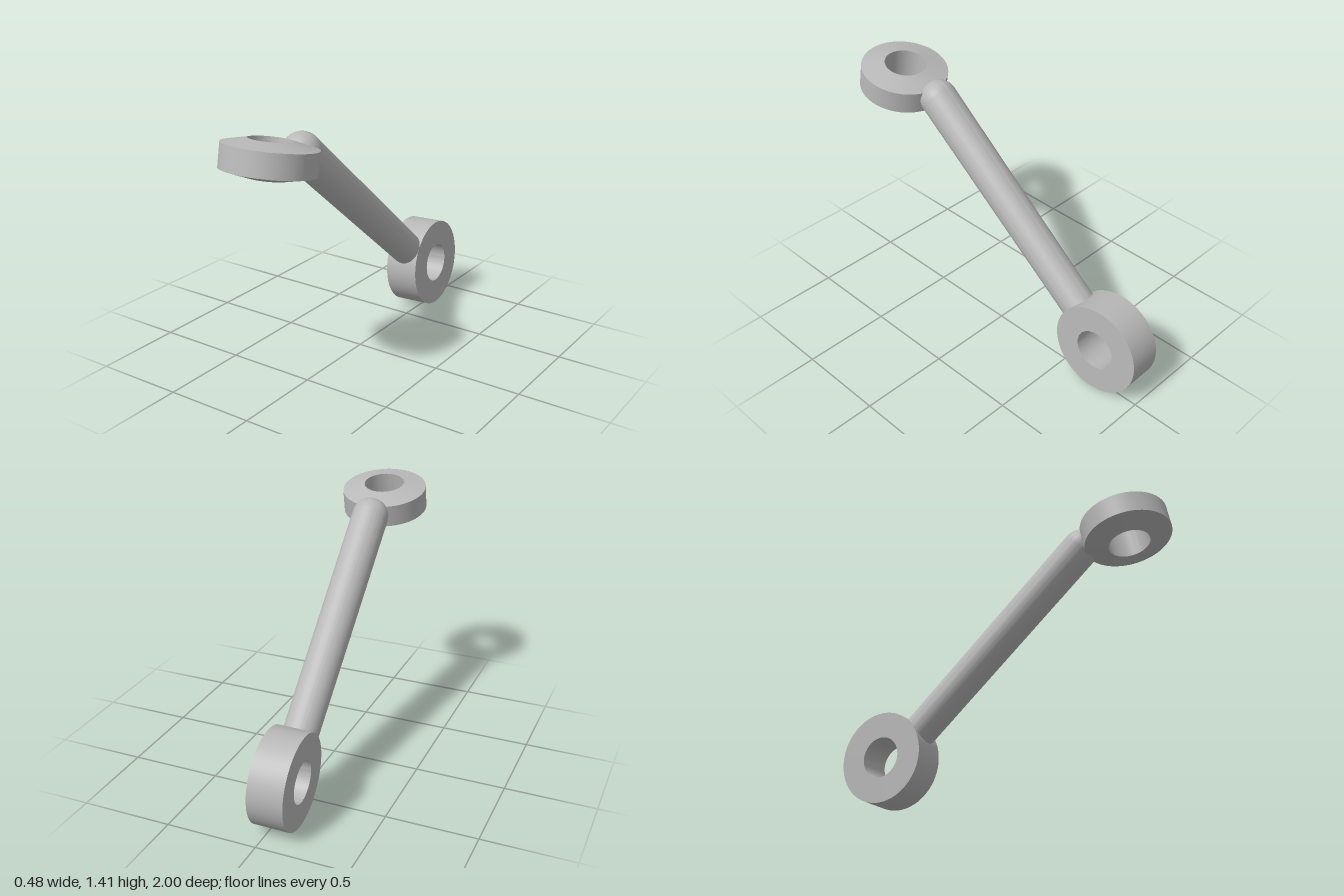
import * as THREE from 'three';
import { toCreasedNormals } from 'three/addons/utils/BufferGeometryUtils.js';

const UP = new THREE.Vector3(0, 1, 0);

// Revolve a profile of [radius, height] pairs, keeping its edges sharp
function turned(name, profile, material) {
  const points = profile.map(([r, h]) => new THREE.Vector2(r, h));
  const mesh = new THREE.Mesh(toCreasedNormals(new THREE.LatheGeometry(points, 72), 0.6), material);
  mesh.name = name;
  return mesh;
}

// Point the mesh's own y axis along a direction
function aim(mesh, position, direction) {
  mesh.position.copy(position);
  mesh.quaternion.setFromUnitVectors(UP, direction.clone().normalize());
  return mesh;
}

// Ring profile: the rim and the hole may differ in height, giving conical faces
const ringProfile = (outer, hole, rimHalf, holeHalf) => [
  [hole, -holeHalf], [outer, -rimHalf], [outer, rimHalf], [hole, holeHalf], [hole, -holeHalf],
];

export function createModel() {
  const group = new THREE.Group();
  group.name = 'connectingLink';
  const steel = new THREE.MeshStandardMaterial({ color: 0xb8b8b8 });
  steel.name = 'steel grey';

  // Flat lower eye, axis close to x
  group.add(aim(
    turned('lowerEye', ringProfile(0.257, 0.114, 0.097, 0.097), steel),
    new THREE.Vector3(-0.043, 0.262, -0.739),
    new THREE.Vector3(1, 0.04, -0.04),
  ));

  // Upper eye with conical faces, axis close to y
  group.add(aim(
    turned('upperEye', ringProfile(0.239, 0.113, 0.062, 0.092), steel),
    new THREE.Vector3(0, 1.3, 0.758),
    new THREE.Vector3(0, 1, -0.197),
  ));

  // Slightly tapered rod with a domed upper end
  const foot = new THREE.Vector3(-0.04, 0.357, -0.6);
  const head = new THREE.Vector3(-0.012, 1.267, 0.49);
  const axis = head.clone().sub(foot);
  const length = axis.length();
  const radius = 0.102;
  const profile = [[0, 0], [0.094, 0]];
  for (let i = 0; i <= 16; i++) {
    const a = (i / 16) * Math.PI / 2;
    profile.push([i === 16 ? 0 : radius * Math.cos(a), length + radius * Math.sin(a)]);
  }
  group.add(aim(turned('rod', profile, steel), foot, axis));

  return group;
}
